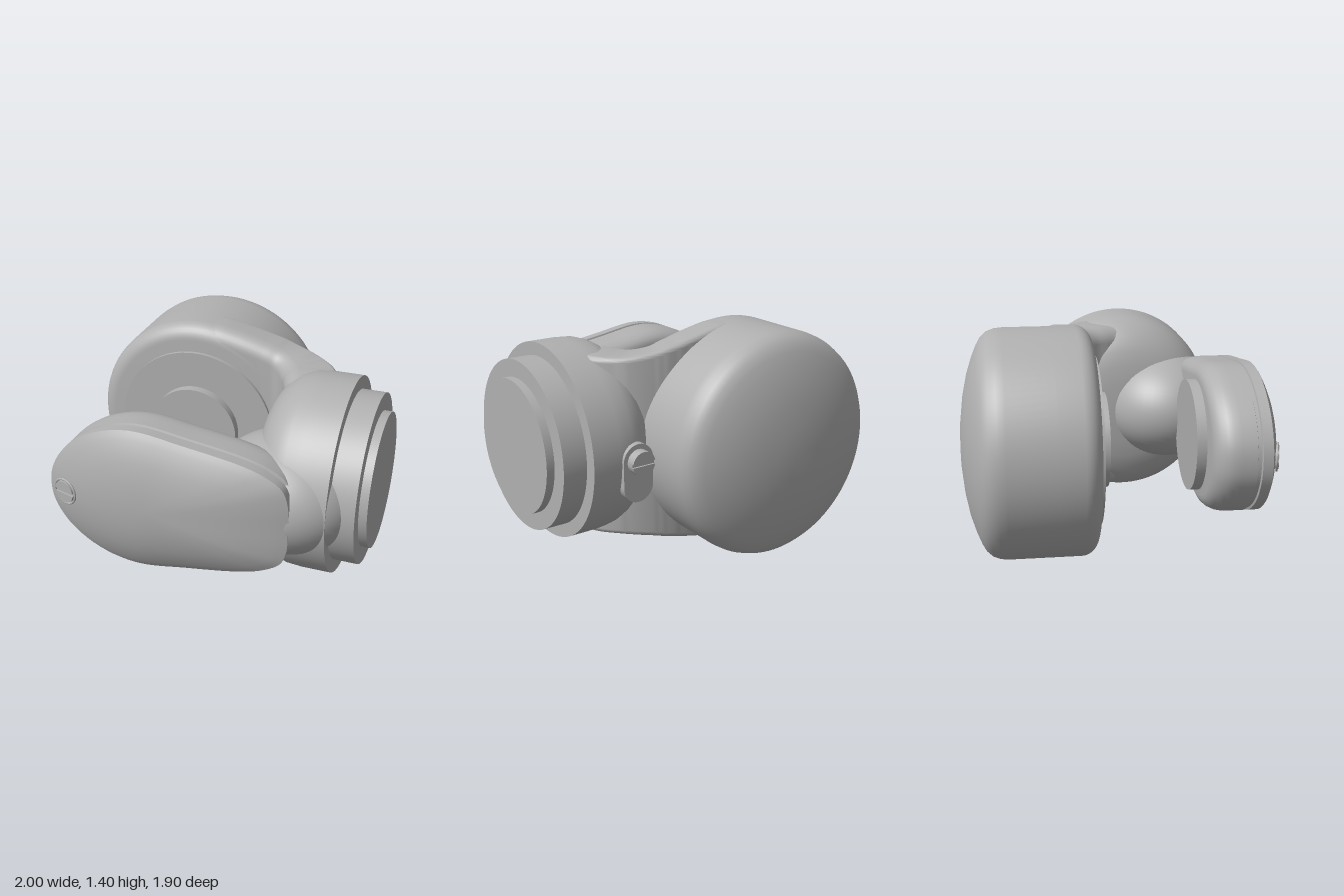
import * as THREE from 'three';
import { toCreasedNormals } from 'three/addons/utils/BufferGeometryUtils.js';

const CY = 0.705; // height of the main axes

// Skin closed rings of points, with a fan cap on both ends
function loft(rings) {
  const n = rings[0].length, pos = [], idx = [];
  rings.forEach(r => r.forEach(p => pos.push(p.x, p.y, p.z)));
  for (let i = 0; i < rings.length - 1; i++) {
    for (let j = 0; j < n; j++) {
      const k = (j + 1) % n;
      const a = i * n + j, b = i * n + k, c = b + n, d = a + n;
      idx.push(a, b, c, a, c, d);
    }
  }
  for (const end of [0, rings.length - 1]) {
    const mid = new THREE.Vector3();
    rings[end].forEach(p => mid.addScaledVector(p, 1 / n));
    const m = pos.length / 3;
    pos.push(mid.x, mid.y, mid.z);
    for (let j = 0; j < n; j++) {
      const a = end * n + j, b = end * n + (j + 1) % n;
      if (end) idx.push(m, a, b); else idx.push(m, b, a);
    }
  }
  const g = new THREE.BufferGeometry();
  g.setAttribute('position', new THREE.Float32BufferAttribute(pos, 3));
  g.setIndex(idx);
  return g;
}

// Turned part from [radius, position along axis] pairs
function turned(axis, profile, segments = 96) {
  const g = new THREE.LatheGeometry(profile.map(p => new THREE.Vector2(...p)), segments);
  return axis === 'x' ? g.rotateZ(-Math.PI / 2) : g.rotateX(Math.PI / 2);
}

// Points of a rounded corner from one angle to another
function arc(r, z, rad, from, to, steps = 8) {
  return Array.from({ length: steps + 1 }, (_, i) => {
    const a = from + (to - from) * i / steps;
    return [r + rad * Math.cos(a), z + rad * Math.sin(a)];
  });
}

export function createModel() {
  const group = new THREE.Group();
  const grey = new THREE.MeshStandardMaterial({ color: 0xb0b0b0 });
  grey.name = 'machined grey';
  const add = (name, geometry, x = 0, y = 0, z = 0, crease = 0.55) => {
    const mesh = new THREE.Mesh(toCreasedNormals(geometry, crease), grey);
    mesh.name = name;
    mesh.position.set(x, y, z);
    group.add(mesh);
    return mesh;
  };
  const disc = (r, z0, z1) => turned('z', [[0, z0], [r, z0], [r, z1], [0, z1]], 64);

  // Rear drum with a shallow dome on its back
  const dome = [[0, -0.95], [0.15, -0.945], [0.3, -0.927], [0.43, -0.9], [0.53, -0.867],
    [0.6, -0.838], [0.645, -0.812], [0.678, -0.775], [0.695, -0.73], [0.7, -0.68]];
  add('rearDrum', turned('z', [...dome, [0.7, -0.4], ...arc(0.6, -0.25, 0.1, 0, Math.PI / 2), [0, -0.15]]),
    -0.3, CY);
  add('drumInnerDisc', disc(0.525, -0.2, -0.127), -0.3, CY);
  add('drumBoss', disc(0.29, -0.2, -0.07), -0.3, CY);

  // Bent arm from the drum into the hub: x, z, angle, half height, half thickness
  const stations = [
    [-0.3, -0.278, 0, 0.7, 0.125], [-0.15, -0.278, 0, 0.69, 0.125], [0, -0.277, 0, 0.66, 0.125],
    [0.15, -0.274, 0.1, 0.622, 0.125], [0.28, -0.25, 0.44, 0.585, 0.125], [0.4, -0.17, 0.87, 0.56, 0.15],
    [0.48, -0.05, 1.3, 0.56, 0.165], [0.5, 0.1, 1.57, 0.55, 0.13]];
  const path = new THREE.CatmullRomCurve3(stations.map(s => new THREE.Vector3(s[0], s[1], s[2])));
  const size = new THREE.CatmullRomCurve3(stations.map(s => new THREE.Vector3(s[3], s[4], 0)));
  const armRings = [];
  for (let i = 0; i <= 42; i++) {
    const { x, y: z, z: angle } = path.getPoint(i / 42);
    const { x: hh, y: ht } = size.getPoint(i / 42);
    const ring = [];
    for (let q = 0; q < 4; q++) {
      const su = q === 0 || q === 3 ? 1 : -1, sv = q < 2 ? 1 : -1;
      const rad = sv > 0 ? 0.1 : 0.035;
      for (const [u, v] of arc(su * (hh - rad), sv * (ht - rad), rad, q * Math.PI / 2, (q + 1) * Math.PI / 2)) {
        ring.push(new THREE.Vector3(x - Math.sin(angle) * v, CY + u, z + Math.cos(angle) * v));
      }
    }
    armRings.push(ring);
  }
  add('bentArm', loft(armRings));

  // Stepped hub with a rounded inner end
  add('hub', turned('x', [[0, 0.27], [0.2, 0.275], [0.32, 0.29], [0.41, 0.315], [0.46, 0.34], [0.51, 0.375],
    [0.55, 0.42], [0.58, 0.47], [0.6, 0.53], [0.607, 0.62], [0.607, 0.8], [0, 0.8]]), 0, CY, 0.135);
  add('hubStep', turned('x', [[0, 0.75], [0.525, 0.75], [0.525, 0.95], [0, 0.95]]), 0, CY, 0.135);
  add('hubFlange', turned('x', [[0, 0.9], [0.417, 0.9], [0.417, 1], [0, 1]]), 0, CY, 0.135);

  // Rounded bulge between the hub and the front arm
  add('innerBulge', new THREE.SphereGeometry(1, 48, 32).scale(0.46, 0.36, 0.42), 0.49, CY, 0.43);

  // Front arm: teardrop outline scaled through the depth
  const half = [[0.615, 0], [0.61, 0.15], [0.575, 0.245], [0.48, 0.31], [0.35, 0.355], [0, 0.415],
    [-0.33, 0.455], [-0.57, 0.395], [-0.75, 0.265], [-0.84, 0.12], [-0.86, 0]];
  const mirrored = half.slice(1, -1).reverse().map(([x, y]) => [x, -y]);
  const outline = new THREE.CatmullRomCurve3(
    [...half, ...mirrored].map(([x, y]) => new THREE.Vector3(x, y, 0)), true).getPoints(100).slice(0, -1);
  const teardrop = layers => loft(layers.map(([s, z]) =>
    outline.map(p => new THREE.Vector3(-0.2 + (p.x + 0.2) * s, CY + p.y * s, z))));
  add('frontArm', teardrop([[0.8, 0.5], [0.85, 0.504], [0.9, 0.516], [0.945, 0.54], [0.98, 0.575],
    [0.995, 0.61], [1, 0.65], [1, 0.74], [0.975, 0.745], [0.975, 0.78]]));
  add('frontCover', teardrop([[0.97, 0.765], [1, 0.77], [1, 0.83], [0.95, 0.845], [0.9, 0.858], [0.78, 0.885],
    [0.65, 0.907], [0.5, 0.926], [0.35, 0.939], [0.2, 0.947], [0.05, 0.95]]));
  add('frontArmBoss', disc(0.345, 0.44, 0.55), -0.26, CY);

  // Slotted screw: rim, head and two raised halves leaving the slot
  function screw(name, r, x, y, z, turnY) {
    const s = new THREE.Group();
    s.name = name;
    const head = new THREE.Mesh(disc(r, -0.05, 0), grey);
    head.name = 'screwHead';
    head.geometry = toCreasedNormals(head.geometry, 0.55);
    s.add(head);
    for (const side of [0, Math.PI]) {
      const a = 0.14;
      const shape = new THREE.Shape().absarc(0, 0, r, a, Math.PI - a, false);
      const g = new THREE.ExtrudeGeometry(shape, { depth: 0.012, bevelEnabled: false, curveSegments: 24 });
      const cap = new THREE.Mesh(toCreasedNormals(g, 0.55), grey);
      cap.name = 'screwHeadHalf';
      cap.rotation.z = side;
      s.add(cap);
    }
    s.position.set(x, y, z);
    s.rotation.y = turnY;
    group.add(s);
    return s;
  }
  screw('coverScrew', 0.07, -0.74, CY, 0.884, -0.3);
  const rim = add('coverScrewRim', new THREE.TorusGeometry(0.08, 0.007, 8, 48), -0.74, CY, 0.884);
  rim.rotation.y = -0.3;

  // Rear stadium pad with its screw
  const pad = new THREE.Shape();
  pad.absarc(0, 0.08, 0.1, 0, Math.PI, false);
  pad.absarc(0, -0.08, 0.1, Math.PI, Math.PI * 2, false);
  add('rearPad', new THREE.ExtrudeGeometry(pad, { depth: 0.2, bevelEnabled: false, curveSegments: 24 }),
    0.515, 0.63, -0.49);
  screw('rearScrew', 0.075, 0.515, CY, -0.538, Math.PI);

  return group;
}
